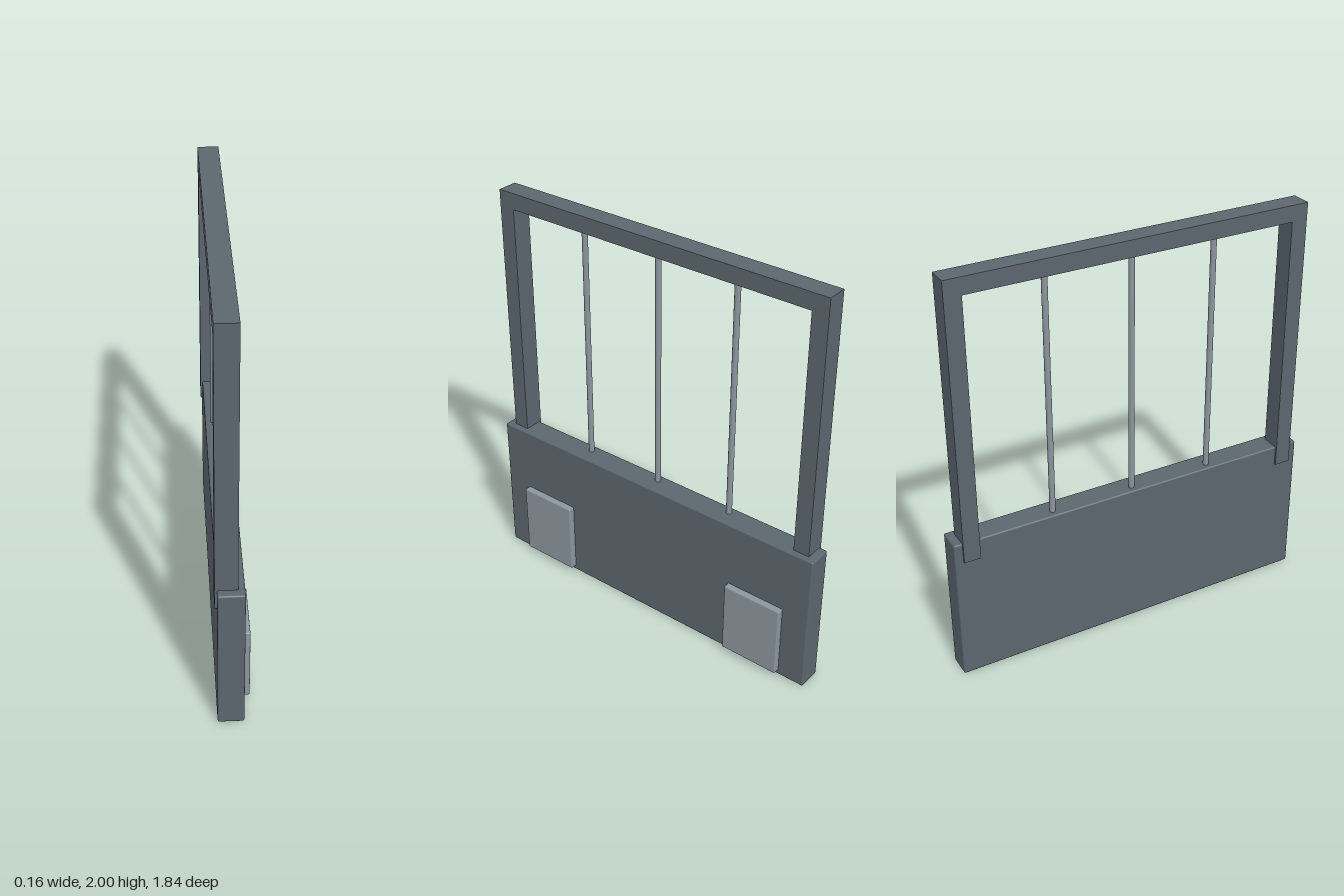
import * as THREE from 'three';
import { RoundedBoxGeometry } from 'three/addons/geometries/RoundedBoxGeometry.js';

export function createModel() {
  const model = new THREE.Group();
  const darkSteel = new THREE.MeshStandardMaterial({ color: 0x5c666e });
  darkSteel.name = 'dark steel';
  const lightSteel = new THREE.MeshStandardMaterial({ color: 0x8b969e });
  lightSteel.name = 'light steel';

  const add = (name, geometry, material, x, y, z) => {
    const mesh = new THREE.Mesh(geometry, material);
    mesh.name = name;
    mesh.position.set(x, y, z);
    model.add(mesh);
  };

  // Solid lower panel with slightly eased edges
  add('lowerPanel', new RoundedBoxGeometry(0.12, 0.733, 1.84, 2, 0.008), darkSteel, -0.012, 0.3665, 0);

  // Upper frame: two posts, set into the panel, and a top rail
  const frameX = -0.032;
  for (const side of [1, -1]) {
    add(side > 0 ? 'frontPost' : 'backPost', new THREE.BoxGeometry(0.1, 1.365, 0.08),
      darkSteel, frameX, 1.3175, side * 0.84);
  }
  add('topRail', new THREE.BoxGeometry(0.1, 0.08, 1.6), darkSteel, frameX, 1.96, 0);

  // Thin upright bars in the opening
  for (const z of [-0.415, 0, 0.415]) {
    add('bar', new THREE.CylinderGeometry(0.014, 0.014, 1.24, 12), lightSteel, frameX, 1.32, z);
  }

  // Raised plates on the outer face
  for (const side of [1, -1]) {
    add('plate', new RoundedBoxGeometry(0.04, 0.375, 0.304, 2, 0.006), lightSteel, 0.06, 0.2125, side * 0.631);
  }
  return model;
}
